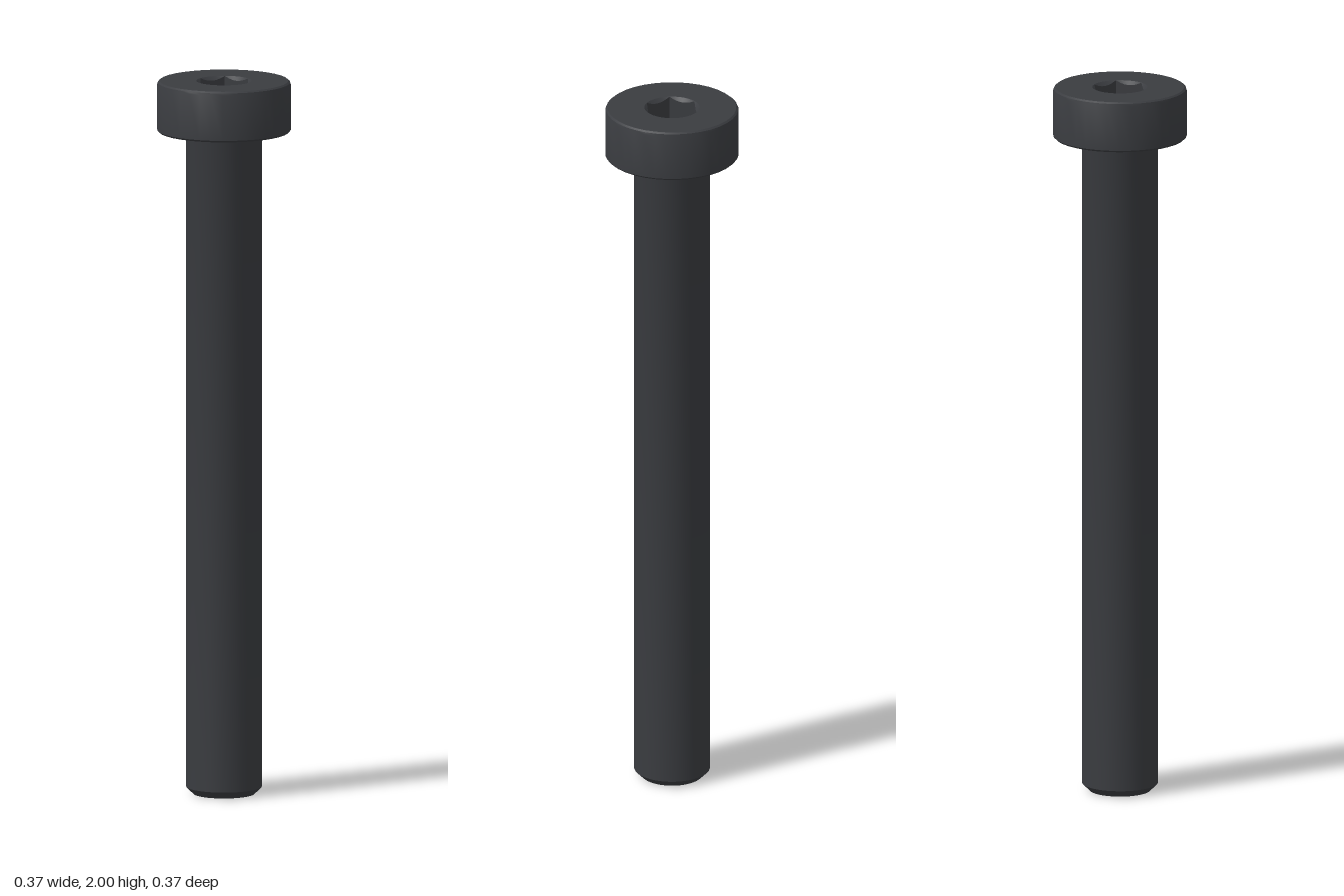
import * as THREE from 'three';
import { toCreasedNormals } from 'three/addons/utils/BufferGeometryUtils.js';

const SEGMENTS = 36;
const material = new THREE.MeshStandardMaterial({ color: 0x3a3c40 });

const lathe = (profile) =>
  new THREE.LatheGeometry(profile.map(([r, y]) => new THREE.Vector2(r, y)), SEGMENTS);

function part(name, geometry) {
  const mesh = new THREE.Mesh(toCreasedNormals(geometry, 0.5), material);
  mesh.name = name;
  return mesh;
}

// Hex socket: a lathed well whose walls are pulled in to a hexagon, with a conical lead-in
function socketGeometry(rim, apothem, top, floor) {
  const geometry = lathe([[rim, top], [rim, top - 0.01], [rim, floor], [0, floor]]);
  const pos = geometry.attributes.position;
  for (let i = 0; i < pos.count; i++) {
    const row = i % 4;
    if (row === 0 || row === 3) continue;
    // corners lie on the x axis, flats face front and back
    const angle = Math.atan2(pos.getZ(i), pos.getX(i)) + Math.PI * 2;
    const r = apothem / Math.cos((angle % (Math.PI / 3)) - Math.PI / 6);
    const y = row === 1 ? top - (rim - r) : floor;
    pos.setXYZ(i, r * Math.cos(angle), y, r * Math.sin(angle));
  }
  return geometry;
}

export function createModel() {
  const group = new THREE.Group();
  group.name = 'socketHeadBolt';

  // Plain shank with a chamfered tip and a small fillet under the head
  group.add(part('shank', lathe([
    [0, 0], [0.085, 0], [0.105, 0.02], [0.105, 1.848],
    [0.107, 1.854], [0.112, 1.858],
  ])));

  // Cylindrical head with softened edges, open at the socket
  group.add(part('head', lathe([
    [0.112, 1.858], [0.18, 1.858], [0.185, 1.863], [0.185, 1.99],
    [0.183, 1.996], [0.178, 2], [0.0765, 2],
  ])));

  group.add(part('hexSocket', socketGeometry(0.0765, 0.066, 2, 1.9)));
  return group;
}
